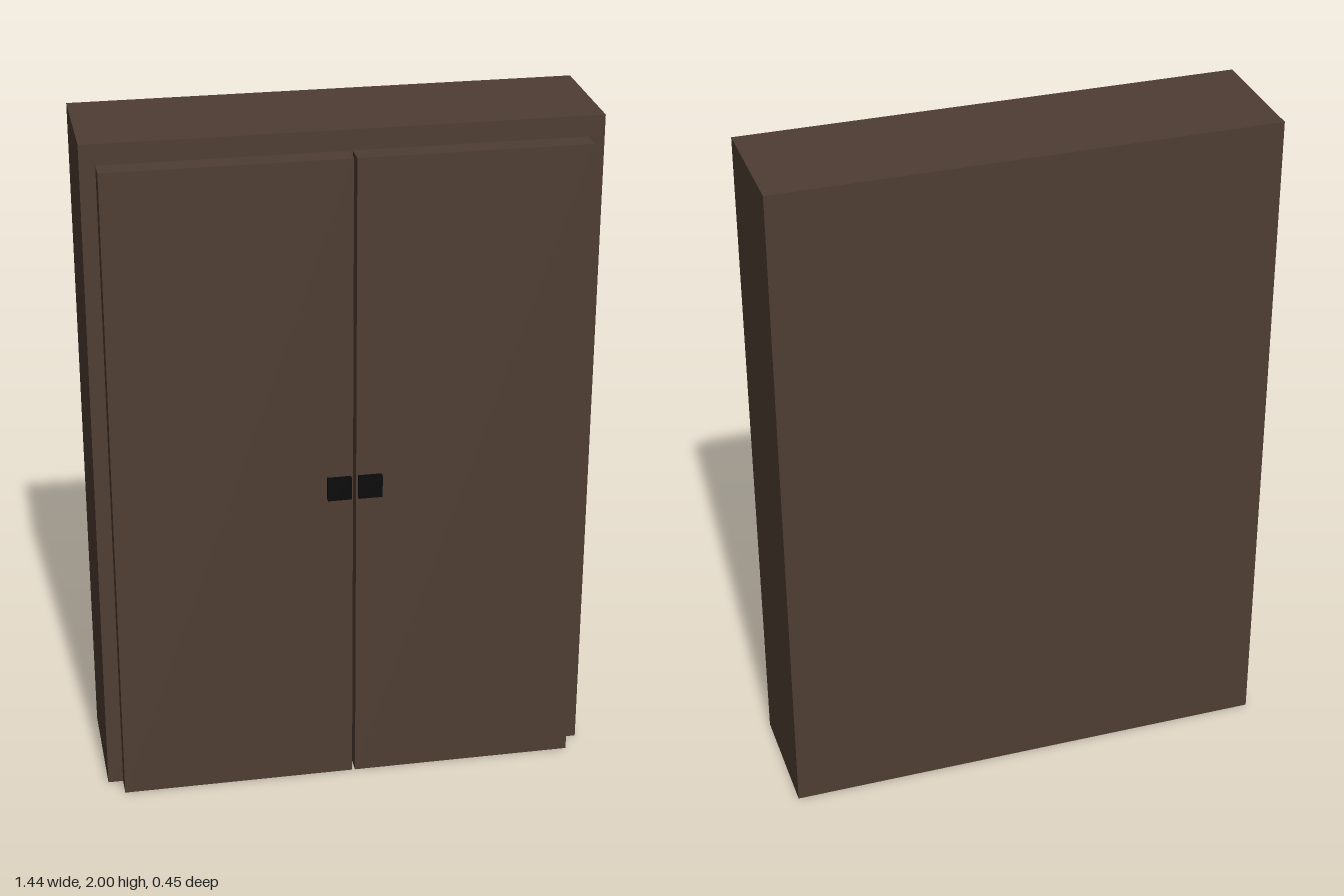
import * as THREE from 'three';

const wood = new THREE.MeshStandardMaterial({ color: 0x4f3d33 });
const black = new THREE.MeshStandardMaterial({ color: 0x0a0a0a });

// Box given by its minimum and maximum corners
function box(name, [x0, y0, z0], [x1, y1, z1], material) {
  const mesh = new THREE.Mesh(new THREE.BoxGeometry(x1 - x0, y1 - y0, z1 - z0), material);
  mesh.position.set((x0 + x1) / 2, (y0 + y1) / 2, (z0 + z1) / 2);
  mesh.name = name;
  return mesh;
}

export function createModel() {
  const wardrobe = new THREE.Group();
  wardrobe.name = 'wardrobe';

  const bodyFront = 0.144, doorFront = 0.208, handleFront = 0.225;

  // Cabinet body
  wardrobe.add(box('cabinetBody', [-0.722, 0, -0.225], [0.722, 2, bodyFront], wood));

  // Two doors with a narrow gap, each with a square handle beside it
  const doors = [
    { side: 'right', door: [-0.678, 0.009], handle: [-0.066, 0.003] },
    { side: 'left', door: [0.018, 0.675], handle: [0.023, 0.092] },
  ];
  for (const { side, door, handle } of doors) {
    wardrobe.add(box(side + 'Door', [door[0], 0, bodyFront], [door[1], 1.94, doorFront], wood));
    wardrobe.add(box(side + 'Handle', [handle[0], 0.925, doorFront], [handle[1], 0.992, handleFront], black));
  }

  return wardrobe;
}
